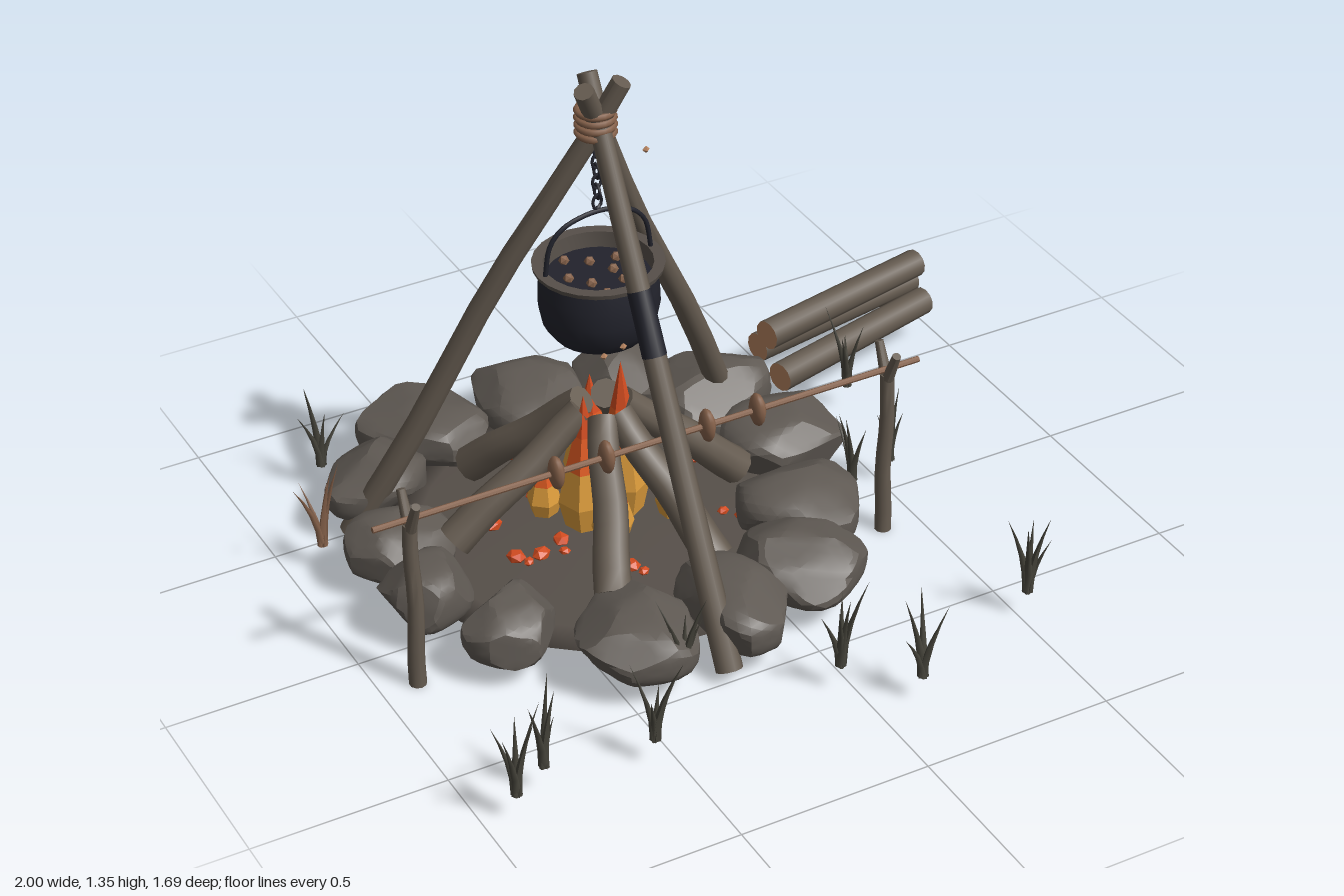
import * as THREE from 'three';
import { toCreasedNormals } from 'three/addons/utils/BufferGeometryUtils.js';

const material = (name, color, extra = {}) => Object.assign(new THREE.MeshStandardMaterial({ color, ...extra }), { name });
const M = {
  wood: material('wood', 0x655b50),
  stone: material('stone', 0x5f5953),
  ash: material('ash', 0x564f49),
  iron: material('iron', 0x22232c, { side: THREE.DoubleSide }),
  rope: material('rope', 0x85614a),
  cut: material('cutWood', 0xb5835f),
  ember: material('ember', 0xd34c20),
  yellow: material('flameYellow', 0xdc9c3c),
  orange: material('flameOrange', 0xdd5a22),
  grass: material('grass', 0x46443b),
};

const V = (x, y, z) => new THREE.Vector3(x, y, z);
let seed = 7;
const rand = (a = 0, b = 1) => {
  seed = (seed * 16807) % 2147483647;
  return a + (b - a) * seed / 2147483647;
};

function add(parent, name, geometry, mat, position = V(0, 0, 0)) {
  const mesh = new THREE.Mesh(geometry, mat);
  mesh.name = name;
  mesh.position.copy(position);
  parent.add(mesh);
  return mesh;
}

const lathe = (points, sides) => new THREE.LatheGeometry(points.map(p => new THREE.Vector2(...p)), sides);

// Move every vertex of a geometry by a rule
function deform(geometry, rule) {
  const p = geometry.attributes.position;
  const v = V(0, 0, 0);
  for (let i = 0; i < p.count; i++) {
    rule(v.fromBufferAttribute(p, i));
    p.setXYZ(i, v.x, v.y, v.z);
  }
  geometry.computeVertexNormals();
  return geometry;
}

// Tapered round pole from a to b, with an optional slight wobble
function pole(parent, name, a, b, ra, rb, mat = M.wood, wobble = 0, sides = 10) {
  const d = b.clone().sub(a);
  const L = d.length();
  const g = new THREE.CylinderGeometry(rb, ra, L, sides, wobble ? 8 : 1);
  const phase = rand(0, 6);
  if (wobble) {
    deform(g, v => {
      const t = v.y / L + 0.5;
      v.x += wobble * Math.sin(t * 7 + phase) * Math.sin(t * Math.PI);
      v.z += wobble * Math.cos(t * 6 + phase) * Math.sin(t * Math.PI);
    });
  }
  const mesh = add(parent, name, toCreasedNormals(g, 0.8), mat, a.clone().add(b).multiplyScalar(0.5));
  mesh.quaternion.setFromUnitVectors(V(0, 1, 0), d.normalize());
}

// Boulder chipped flat by random planes, narrower towards its inner end (-z)
function boulder(sx, sy, sz) {
  const planes = [];
  for (let k = 0; k < 12; k++) {
    planes.push([V(rand(-1, 1), rand(-0.4, 1), rand(-1, 1)).normalize(), rand(0.82, 1.0)]);
  }
  const g = deform(new THREE.IcosahedronGeometry(1, 5), v => {
    const s = (Math.abs(v.x) ** 3 + Math.abs(v.y) ** 3 + Math.abs(v.z) ** 3) ** (-1 / 3);
    v.multiplyScalar(s);
    for (const [n, d] of planes) {
      const over = v.dot(n) - d;
      if (over > 0) v.addScaledVector(n, -over);
    }
    v.set(v.x * (1 + 0.14 * v.z) * sx / 2, v.y * sy / 2, v.z * sz / 2);
  });
  return toCreasedNormals(g, 0.35);
}

// Pointed flame: yellow foot, orange body, red tip
function flame(parent, x, z, y0, y1, r) {
  const g = new THREE.Group();
  g.name = 'flame';
  const h = y1 - y0;
  const rings = [[0, 0.75], [0.2, 1], [0.45, 0.72], [0.7, 0.38], [1, 0]];
  const mats = [M.yellow, M.yellow, M.orange, M.ember];
  mats.forEach((mat, i) => {
    const [t0, r0] = rings[i], [t1, r1] = rings[i + 1];
    const c = new THREE.CylinderGeometry(r1 * r, r0 * r, (t1 - t0) * h, 6, 1, i > 0);
    add(g, 'flameBand', toCreasedNormals(c, 0.2), mat, V(0, (t0 + t1) / 2 * h, 0));
  });
  g.position.set(x, y0, z);
  g.rotation.y = rand(0, 3);
  parent.add(g);
}

// Bent blades fanning out from one root
function tuft(parent, x, z, mat = M.grass) {
  const g = new THREE.Group();
  g.name = 'grassTuft';
  const n = 5;
  for (let i = 0; i < n; i++) {
    const h = rand(0.13, 0.25), lean = rand(0.03, 0.08);
    const blade = new THREE.ConeGeometry(0.014, h, 4, 4);
    blade.translate(0, h / 2, 0);
    deform(blade, v => { v.x += lean * Math.max(0, v.y / h) ** 1.6; });
    add(g, 'grassBlade', blade, mat).rotation.y = i * 2 * Math.PI / n + rand(-0.5, 0.5);
  }
  g.position.set(x, 0.07, z);
  parent.add(g);
}

export function createModel() {
  const root = new THREE.Group();
  root.name = 'campfire';
  const cx = -0.25, cz = -0.15;

  // Ash bed, a closed shallow lens
  const bed = [[0, 0.05], [0.32, 0.052], [0.46, 0.058], [0.54, 0.072], [0.46, 0.083], [0.2, 0.1], [0, 0.105]];
  add(root, 'ashBed', lathe(bed, 32), M.ash, V(cx, 0, cz));

  // Ring of stones, each facing outwards: x, z, width, depth
  const stones = [[-0.49, -0.68, 0.29, 0.33], [-0.2, -0.67, 0.29, 0.36], [0.04, -0.64, 0.24, 0.29],
    [0.22, -0.46, 0.28, 0.34], [0.28, -0.19, 0.28, 0.32], [0.18, 0.08, 0.29, 0.31], [0.06, 0.29, 0.27, 0.32],
    [-0.16, 0.365, 0.24, 0.34], [-0.43, 0.35, 0.29, 0.33], [-0.67, 0.18, 0.2, 0.25], [-0.79, -0.04, 0.21, 0.22],
    [-0.77, -0.24, 0.22, 0.27], [-0.69, -0.54, 0.3, 0.24]];
  for (const [x, z, w, d] of stones) {
    const h = rand(0.15, 0.175);
    add(root, 'ringStone', boulder(w, h, d), M.stone, V(x, 0.042 + h / 2, z)).rotation.y = Math.atan2(x - cx, z - cz);
  }

  // Tripod legs crossing at the top; the front one has a charred stretch
  const fa = V(-0.245, 0.03, 0.49), fb = V(-0.25, 1.34, -0.19);
  pole(root, 'tripodLeg', fa, fb, 0.034, 0.025);
  pole(root, 'charredBand', fa.clone().lerp(fb, 0.53), fa.clone().lerp(fb, 0.64), 0.0305, 0.0295, M.iron);
  pole(root, 'tripodLeg', V(-0.8, 0.03, -0.47), V(-0.2, 1.34, -0.11), 0.034, 0.025, M.wood, 0.01);
  pole(root, 'tripodLeg', V(0.3, 0.03, -0.47), V(-0.3, 1.34, -0.11), 0.034, 0.025, M.wood, 0.01);

  // Rope lashing
  for (let i = 0; i < 4; i++) {
    add(root, 'ropeLashing', new THREE.TorusGeometry(0.044, 0.009, 6, 20), M.rope, V(cx, 1.2 + i * 0.02, cz)).rotation.x = Math.PI / 2;
  }

  // Chain of alternating links
  for (let i = 0; i < 7; i++) {
    const link = add(root, 'chainLink', new THREE.TorusGeometry(0.015, 0.004, 5, 10), M.iron, V(cx, 1.175 - i * 0.028, cz));
    link.scale.y = 1.25;
    link.rotation.y = i % 2 ? Math.PI / 2 : 0.3;
  }

  // Cooking pot with rim, bail handle and stew
  const pot = new THREE.Group();
  pot.name = 'cookingPot';
  pot.position.set(cx, 0, cz);
  root.add(pot);
  const profile = [[0, 0.63], [0.08, 0.632], [0.115, 0.645], [0.14, 0.68], [0.15, 0.73], [0.148, 0.78], [0.14, 0.825]];
  add(pot, 'potBody', toCreasedNormals(lathe(profile, 24), 0.7), M.iron);
  const rim = [[0.14, 0.825], [0.16, 0.829], [0.163, 0.841], [0.135, 0.841], [0.13, 0.795]];
  add(pot, 'potRim', toCreasedNormals(lathe(rim, 24), 0.7), M.ash);
  add(pot, 'stew', new THREE.CircleGeometry(0.135, 24), M.iron, V(0, 0.8, 0)).rotation.x = -Math.PI / 2;
  for (let i = 0; i < 8; i++) {
    const a = i * 2.4, r = 0.04 + i * 0.009;
    add(pot, 'stewPiece', new THREE.IcosahedronGeometry(0.014, 0), M.rope, V(r * Math.cos(a), 0.806, r * Math.sin(a)));
  }
  const bail = [[-0.145, 0.83], [-0.128, 0.92], [-0.095, 0.957], [-0.03, 0.978], [0.03, 0.978], [0.095, 0.957], [0.128, 0.92], [0.145, 0.83]];
  const bailPath = new THREE.CatmullRomCurve3(bail.map(([x, y]) => V(x, y, 0)));
  add(pot, 'bailHandle', new THREE.TubeGeometry(bailPath, 28, 0.006, 6), M.iron);

  // Leaning fire logs: base x, z
  for (const [x, z] of [[-0.47, -0.46], [-0.02, -0.44], [-0.65, -0.18], [0.12, -0.12], [-0.41, 0.21], [-0.12, 0.2]]) {
    const out = V(x - cx, 0, z - cz).normalize().multiplyScalar(0.055);
    pole(root, 'fireLog', V(x, 0.13, z), V(cx + out.x, 0.42, cz + out.z), 0.048, 0.038, M.wood, 0.005);
  }

  // Flames
  for (const f of [[-0.2, -0.14, 0.1, 0.54, 0.07], [-0.31, -0.13, 0.1, 0.48, 0.07], [-0.23, -0.25, 0.1, 0.45, 0.075],
    [-0.1, -0.06, 0.1, 0.31, 0.045], [-0.28, -0.04, 0.1, 0.32, 0.055], [-0.38, -0.22, 0.1, 0.3, 0.045]]) flame(root, ...f);

  // Glowing embers on the ash
  const embers = [[-0.35, -0.49], [-0.25, -0.48], [-0.11, -0.41], [-0.15, -0.37], [0.06, -0.25], [-0.37, -0.29], [-0.52, -0.23],
    [-0.53, -0.08], [0.05, 0.04], [-0.33, 0.09], [-0.3, 0.09], [-0.1, -0.07], [-0.4, -0.09], [-0.22, -0.24], [-0.47, -0.06]];
  for (const [x, z] of embers) {
    for (const [radius, spread] of [[0.025, 0], [0.015, 0.05]]) {
      const e = add(root, 'ember', new THREE.IcosahedronGeometry(radius, 0), M.ember,
        V(x + rand(-spread, spread), 0.103, z + rand(-spread, spread)));
      e.scale.set(1.1, 0.7, 0.9);
      e.rotation.y = rand(0, 3);
    }
  }

  // Drifting sparks
  for (const p of [[-0.2, 1.04, -0.2], [-0.09, 1.08, -0.2], [-0.2, 0.89, -0.1], [-0.35, 0.72, 0.065], [-0.29, 0.72, 0.05],
    [-0.08, 0.69, -0.32], [-0.2, 0.61, -0.2]]) {
    add(root, 'spark', new THREE.OctahedronGeometry(0.01), M.cut, V(...p));
  }

  // Roasting spit on two forked posts
  const sz = 0.137;
  pole(root, 'spitRod', V(-1, 0.485, sz), V(0.49, 0.485, sz), 0.008, 0.008, M.rope, 0, 8);
  for (const x of [-0.905, 0.4]) {
    pole(root, 'spitPost', V(x, 0, sz), V(x, 0.47, sz), 0.022, 0.018, M.wood, 0.004);
    for (const s of [-1, 1]) pole(root, 'postFork', V(x, 0.45, sz), V(x, 0.545, sz + s * 0.042), 0.016, 0.011);
  }
  for (const x of [-0.52, -0.385, -0.11, 0.03]) {
    const f = add(root, 'roastingPiece', new THREE.SphereGeometry(0.045, 10, 6), M.rope, V(x, 0.485, sz));
    f.scale.set(0.4, 1, 0.7);
  }

  // Stacked firewood with pale cut ends
  for (const [a, b] of [[V(0.45, 0.115, -0.595), V(0.99, 0.115, -0.695)], [V(0.435, 0.2, -0.52), V(0.97, 0.2, -0.64)],
    [V(0.43, 0.115, -0.44), V(0.96, 0.115, -0.58)]]) {
    pole(root, 'firewoodLog', a, b, 0.04, 0.038, [M.wood, M.cut, M.cut], 0, 12);
  }

  // Grass around the camp, one tuft dry
  for (const [x, z] of [[-0.77, -0.72], [0.6, -0.38], [0.39, 0], [0.52, -0.03], [-0.37, 0.49], [-0.03, 0.65],
    [0.12, 0.78], [0.52, 0.62], [-0.55, 0.68], [-0.92, 0.7], [-0.82, 0.64]]) tuft(root, x, z);
  tuft(root, -0.91, -0.4, M.rope);

  return root;
}
